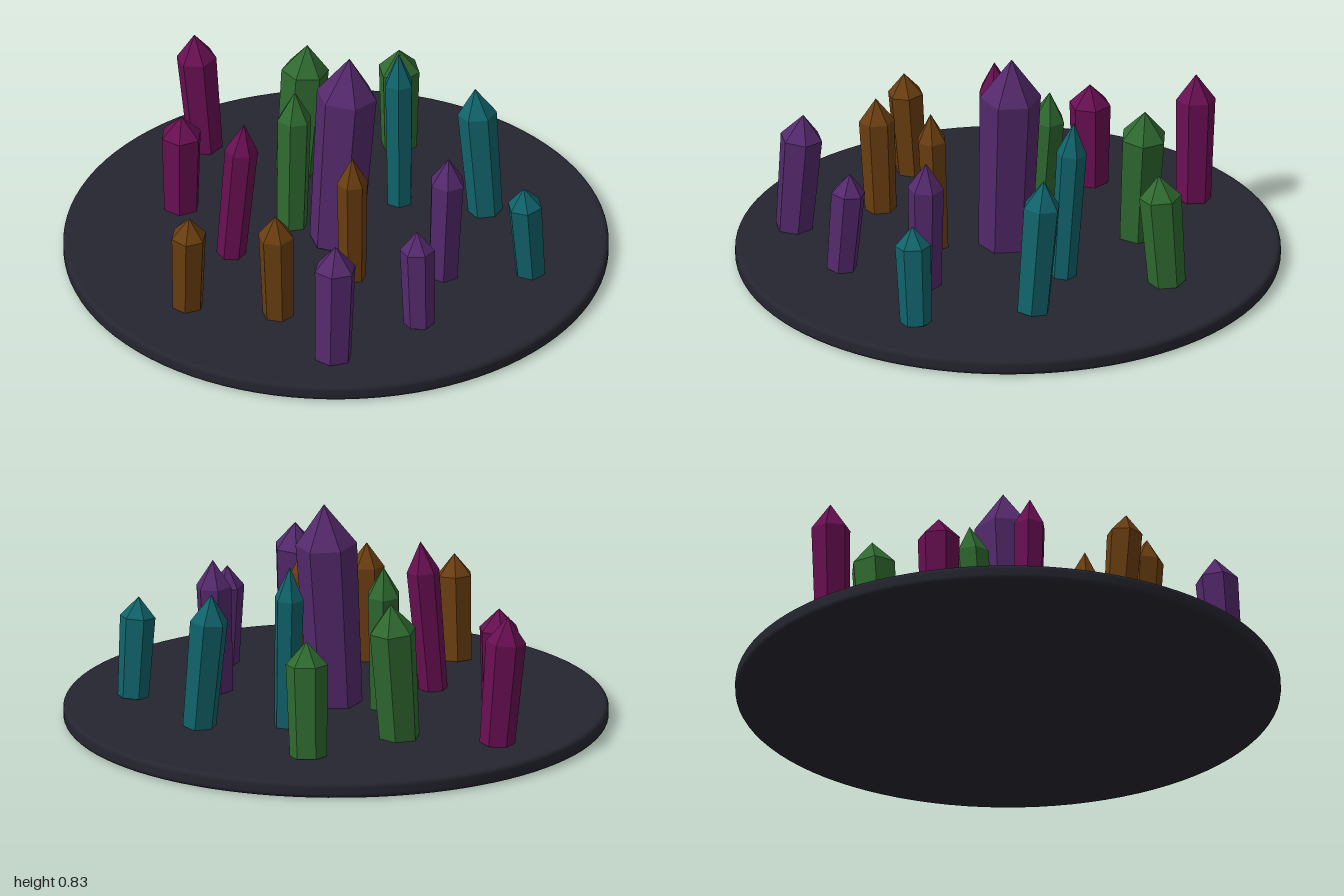
import * as THREE from 'three';
import { mergeGeometries } from 'three/addons/utils/BufferGeometryUtils.js';

const makeMaterial = (name, color) => {
  const material = new THREE.MeshStandardMaterial({ color });
  material.name = name;
  return material;
};

// Faceted crystal: six-sided shaft widening upward, closed by a pointed tip
function crystalGeometry(radius, length, turn) {
  const shaft = length * 0.8;
  const body = new THREE.CylinderGeometry(radius, radius * 0.88, shaft, 6);
  body.translate(0, shaft / 2, 0);
  const point = new THREE.ConeGeometry(radius, length - shaft, 6, 1, true);
  point.translate(0, (length + shaft) / 2, 0);
  const geometry = mergeGeometries([body, point]).toNonIndexed();
  geometry.rotateY(turn);
  geometry.computeVertexNormals(); // flat facets
  return geometry;
}

// Round plate with softened rims
function plateGeometry() {
  const h = 0.06, r = 0.018, points = [new THREE.Vector2(0, 0), new THREE.Vector2(0.975, 0)];
  for (const [cy, start] of [[r, -Math.PI / 2], [h - r, 0]]) {
    for (let i = 0; i <= 5; i++) {
      const a = start + (i / 5) * Math.PI / 2;
      points.push(new THREE.Vector2(1 - r + r * Math.cos(a), cy + r * Math.sin(a)));
    }
  }
  points.push(new THREE.Vector2(0.975, h), new THREE.Vector2(0, h));
  return new THREE.LatheGeometry(points, 96);
}

export function createModel() {
  const model = new THREE.Group();
  model.name = 'crystalGarden';

  const plate = new THREE.Mesh(plateGeometry(), makeMaterial('dark slate', 0x252530));
  plate.name = 'basePlate';
  model.add(plate);

  // Each crystal: base x, base z, tip x, tip y, tip z, radius
  const clusters = [
    ['purple', 0x54296c, [
      [0.0, 0.01, 0.05, 0.83, -0.02, 0.113],
      [-0.035, 0.795, -0.025, 0.52, 0.76, 0.08],
      [0.287, 0.577, 0.28, 0.44, 0.548, 0.065],
      [0.385, 0.255, 0.405, 0.56, 0.25, 0.067],
    ]],
    ['green', 0x2f6a30, [
      [-0.13, -0.465, -0.09, 0.58, -0.495, 0.088],
      [0.25, -0.62, 0.25, 0.49, -0.59, 0.078],
      [-0.158, -0.095, -0.147, 0.61, -0.135, 0.065],
    ]],
    ['teal', 0x10636b, [
      [0.24, -0.235, 0.238, 0.68, -0.275, 0.056],
      [0.553, -0.165, 0.516, 0.57, -0.2, 0.072],
      [0.705, 0.248, 0.68, 0.435, 0.265, 0.066],
    ]],
    ['magenta', 0x680f52, [
      [-0.46, -0.625, -0.5, 0.545, -0.63, 0.074],
      [-0.56, -0.23, -0.56, 0.45, -0.23, 0.078],
      [-0.387, 0.09, -0.34, 0.625, 0.095, 0.061],
    ]],
    ['brown', 0x6a3e10, [
      [0.053, 0.258, 0.05, 0.59, 0.28, 0.057],
      [-0.228, 0.5, -0.238, 0.5, 0.52, 0.066],
      [-0.557, 0.43, -0.553, 0.455, 0.457, 0.067],
    ]],
  ];

  const up = new THREE.Vector3(0, 1, 0);
  clusters.forEach(([name, color, crystals], c) => {
    const group = new THREE.Group();
    group.name = `${name}Crystals`;
    const material = makeMaterial(name, color);
    crystals.forEach(([bx, bz, tx, ty, tz, radius], i) => {
      const base = new THREE.Vector3(bx, 0.06, bz);
      const axis = new THREE.Vector3(tx, ty, tz).sub(base);
      const turn = 0.25 + c * 0.37 + i * 0.61;
      const crystal = new THREE.Mesh(crystalGeometry(radius, axis.length(), turn), material);
      crystal.name = `${name}Crystal${i + 1}`;
      crystal.position.copy(base);
      crystal.quaternion.setFromUnitVectors(up, axis.normalize());
      group.add(crystal);
    });
    model.add(group);
  });
  return model;
}
